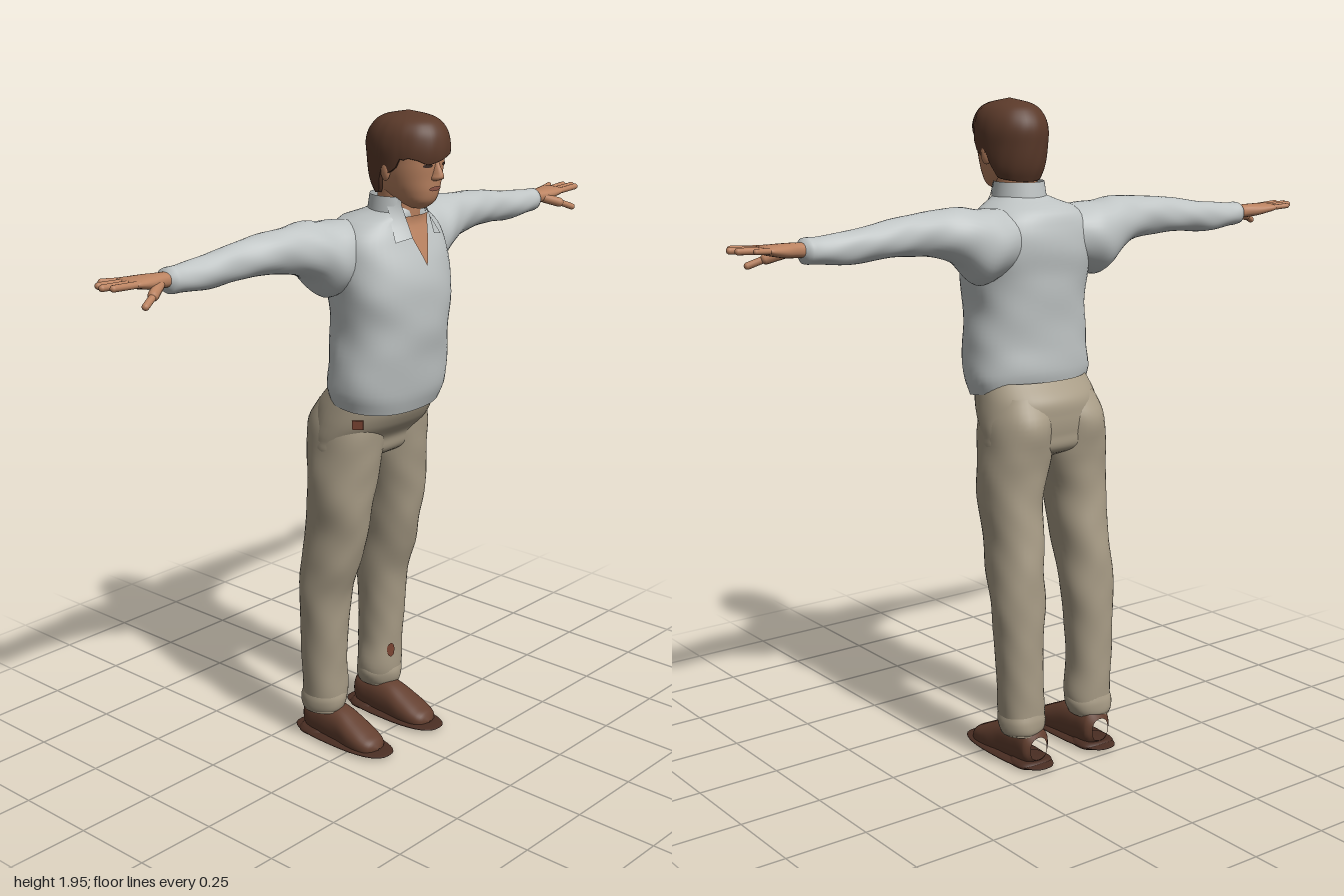
import * as THREE from 'three';

const mat = (name, color, side = THREE.FrontSide) => {
  const m = new THREE.MeshStandardMaterial({ color, side });
  m.name = name;
  return m;
};
const D = THREE.DoubleSide;
const M = {
  shirt: mat('shirt grey', 0xbfc4c4, D),
  trousers: mat('trouser khaki', 0xa89c86),
  skin: mat('skin', 0xbb8361, D),
  hair: mat('hair brown', 0x5b3a2a, D),
  shoe: mat('shoe leather', 0x633f2f),
  sole: mat('shoe sole', 0x4a2e23),
  lips: mat('lips', 0x95594a, D),
  eye: mat('eye dark', 0x3a2a24, D),
  patch: mat('rust patch', 0x7a4432, D),
};

// Smooth interpolation of section rows [t, c1, c2, r1, r2] at t
function at(rows, t) {
  let i = 0;
  while (i < rows.length - 2 && t > rows[i + 1][0]) i++;
  const a = rows[i], b = rows[i + 1], h = b[0] - a[0], s = THREE.MathUtils.clamp((t - a[0]) / h, 0, 1);
  const p = rows[Math.max(i - 1, 0)], n = rows[Math.min(i + 2, rows.length - 1)];
  return a.map((_, k) => {
    if (k === 0) return t;
    const m0 = (b[k] - p[k]) / (b[0] - p[0]) * h, m1 = (n[k] - a[k]) / (n[0] - a[0]) * h;
    const v = (2 * s ** 3 - 3 * s * s + 1) * a[k] + (s ** 3 - 2 * s * s + s) * m0 + (3 * s * s - 2 * s ** 3) * b[k] + (s ** 3 - s * s) * m1;
    return k > 2 ? Math.max(v, 0.0005) : v;
  });
}

// Surface from a grid of points; closed wraps the columns
function grid(nr, nc, closed, fn) {
  const pos = [], idx = [], cols = closed ? nc : nc + 1;
  for (let i = 0; i <= nr; i++) for (let j = 0; j < cols; j++) pos.push(...fn(i / nr, j / nc));
  for (let i = 0; i < nr; i++) for (let j = 0; j < nc; j++) {
    const k = (j + 1) % cols, a = i * cols + j, b = i * cols + k, c = a + cols, d = b + cols;
    idx.push(a, c, b, b, c, d);
  }
  const g = new THREE.BufferGeometry();
  g.setAttribute('position', new THREE.Float32BufferAttribute(pos, 3));
  g.setIndex(idx);
  g.computeVertexNormals();
  return g;
}

const PLACE = { y: (t, u, v) => [u, t, v], x: (t, u, v) => [t, v, u], z: (t, u, v) => [v, u, t] };
const spow = (v, e) => Math.sign(v) * Math.abs(v) ** e;

// Superelliptic loft along an axis, with optional cloth folds and a vertex rule
function loft(rows, { axis = 'y', p = 2, n = 36, steps = 40, fold = 0, rule } = {}) {
  const t0 = rows[0][0], t1 = rows[rows.length - 1][0];
  return grid(steps, n, true, (s, w) => {
    const [t, c1, c2, r1, r2] = at(rows, t0 + (t1 - t0) * s), a = w * Math.PI * 2;
    const f = 1 + fold * (Math.sin(3 * a + t * 31) + 0.7 * Math.sin(5 * a - t * 47));
    const q = PLACE[axis](t, c1 + r1 * f * spow(Math.cos(a), 2 / p), c2 + r2 * f * spow(Math.sin(a), 2 / p));
    return rule ? rule(q) : q;
  });
}

// Thin plate laid on the front of an upright loft between two x edges
function plate(rows, p, y0, y1, left, right, lift = 0.004) {
  return grid(10, 10, false, (s, w) => {
    const y = y0 + (y1 - y0) * s, x = right(s) + (left(s) - right(s)) * w;
    const [, cx, cz, rx, rz] = at(rows, y);
    return [x, y, cz + rz * Math.max(0, 1 - Math.abs((x - cx) / rx) ** p) ** (1 / p) + lift];
  });
}
const oval = (rows, p, x, y, w, h, lift) => plate(rows, p, y - h, y + h,
  s => x - w * Math.sqrt(Math.max(0, 1 - (2 * s - 1) ** 2)), s => x + w * Math.sqrt(Math.max(0, 1 - (2 * s - 1) ** 2)), lift);

function capsule(a, b, r) {
  const A = new THREE.Vector3(...a), B = new THREE.Vector3(...b), d = B.clone().sub(A);
  const g = new THREE.CapsuleGeometry(r, d.length() - r, 6, 12);
  g.applyQuaternion(new THREE.Quaternion().setFromUnitVectors(new THREE.Vector3(0, 1, 0), d.normalize()));
  const c = A.add(B).multiplyScalar(0.5);
  return g.translate(c.x, c.y, c.z);
}

function mirrored(geo) {
  const g = geo.clone().scale(-1, 1, 1), ix = g.index.array;
  for (let i = 0; i < ix.length; i += 3) [ix[i], ix[i + 1]] = [ix[i + 1], ix[i]];
  g.computeVertexNormals();
  return g;
}

const TORSO = [[1.11, 0, 0.005, 0.186, 0.118], [1.16, 0, 0.01, 0.2, 0.132], [1.25, 0, 0.018, 0.195, 0.138],
  [1.35, 0, 0.022, 0.185, 0.147], [1.45, 0, 0.02, 0.197, 0.15], [1.53, 0, 0.007, 0.2, 0.147],
  [1.6, 0, 0, 0.185, 0.13], [1.645, 0, 0.005, 0.14, 0.11], [1.67, 0, 0.04, 0.08, 0.078], [1.69, 0, 0.05, 0.06, 0.06]];
const ARM = [[0.1, -0.03, 1.56, 0.085, 0.08], [0.17, -0.037, 1.55, 0.1, 0.103], [0.22, -0.04, 1.548, 0.097, 0.107],
  [0.28, -0.04, 1.578, 0.085, 0.083], [0.35, -0.04, 1.592, 0.065, 0.066], [0.45, -0.045, 1.595, 0.056, 0.056],
  [0.55, -0.055, 1.588, 0.047, 0.049], [0.65, -0.055, 1.578, 0.043, 0.045], [0.74, -0.055, 1.578, 0.037, 0.036],
  [0.785, -0.055, 1.58, 0.034, 0.032], [0.79, -0.055, 1.58, 0.015, 0.015]];
const LEG = [[0.1, 0.13, -0.135, 0.06, 0.064], [0.16, 0.125, -0.13, 0.07, 0.068], [0.25, 0.131, -0.13, 0.067, 0.07],
  [0.4, 0.132, -0.125, 0.072, 0.075], [0.5, 0.13, -0.12, 0.08, 0.08], [0.6, 0.128, -0.1, 0.078, 0.096],
  [0.7, 0.12, -0.083, 0.081, 0.102], [0.8, 0.12, -0.068, 0.09, 0.103], [0.88, 0.11, -0.065, 0.1, 0.107],
  [0.95, 0.1, -0.065, 0.104, 0.115], [1.04, 0.095, -0.063, 0.097, 0.123], [1.11, 0.085, -0.05, 0.08, 0.1]];
const HIPS = [[0.92, 0, -0.06, 0.13, 0.04], [0.95, 0, -0.065, 0.192, 0.098], [1, 0, -0.063, 0.199, 0.113],
  [1.05, 0, -0.045, 0.195, 0.135], [1.1, 0, -0.03, 0.186, 0.144], [1.15, 0, -0.01, 0.175, 0.122]];
const HEAD = [[1.683, 0, 0.125, 0.018, 0.025], [1.7, 0, 0.12, 0.046, 0.052], [1.73, 0, 0.1, 0.066, 0.084],
  [1.77, 0, 0.093, 0.079, 0.096], [1.81, 0, 0.09, 0.086, 0.104], [1.86, 0, 0.087, 0.09, 0.107],
  [1.91, 0, 0.09, 0.072, 0.088], [1.938, 0, 0.09, 0.005, 0.005]];
const HAIR = [[1.7, 0, 0.06, 0.062, 0.062], [1.75, 0, 0.08, 0.09, 0.105], [1.82, 0, 0.088, 0.1, 0.126],
  [1.87, 0, 0.088, 0.1, 0.128], [1.91, 0, 0.09, 0.086, 0.11], [1.935, 0, 0.09, 0.056, 0.075], [1.95, 0, 0.09, 0.001, 0.001]];
const HAIRLINE = [[-1.01, 1.715], [-0.3, 1.725], [-0.1, 1.8], [0.08, 1.785], [0.28, 1.8], [0.5, 1.86], [0.75, 1.845], [0.9, 1.825], [1.01, 1.825]];

function hairGeometry() {
  const edge = a => {
    const s = Math.sin(a), i = HAIRLINE.findIndex((h, k) => k > 0 && s <= h[0]);
    const [s0, y0] = HAIRLINE[i - 1], [s1, y1] = HAIRLINE[i];
    return y0 + (y1 - y0) * (s - s0) / (s1 - s0) + (s > 0.4 ? 0.03 * Math.cos(a) : 0);
  };
  return grid(30, 64, true, (s, w) => {
    const a = w * Math.PI * 2, k = Math.max(0, (s - 0.06) / 0.94);
    const y = edge(a) + (1.95 - edge(a)) * (1 - (1 - k) ** 1.5);
    const [, , cz, rx, rz] = at(HAIR, y), f = s === 0 ? 0.86 : 1 + 0.006 * Math.sin(a * 14 + y * 40) * (1 - k);
    return [rx * f * Math.cos(a), y, cz + rz * f * Math.sin(a)];
  });
}

export function createModel() {
  const root = new THREE.Group();
  root.name = 'standingMan';
  const add = (name, geo, m) => {
    const mesh = new THREE.Mesh(geo, m);
    mesh.name = name;
    root.add(mesh);
  };
  const pair = (name, geo, m) => {
    add(name + 'Left', geo, m);
    add(name + 'Right', mirrored(geo), m);
  };

  // Shirt: body with a hem that rises at the back, sleeves, collar
  add('shirtBody', loft(TORSO, {
    p: 2.3, n: 48, fold: 0.007,
    rule: ([x, y, z]) => [x, y - 0.16 * z * Math.max(0, 1 - (y - 1.11) / 0.15), z],
  }), M.shirt);
  pair('sleeve', loft(ARM, { axis: 'x', fold: 0.016, steps: 60 }), M.shirt);
  add('collarBand', grid(6, 36, false, (s, w) => {
    const a = Math.PI * (0.72 + 1.56 * w), r = 1.12 - 0.14 * s;
    return [0.074 * r * Math.cos(a), 1.645 + 0.07 * s, 0.045 + 0.078 * r * Math.sin(a)];
  }), M.shirt);
  pair('collarFlap', grid(6, 6, false, (s, w) => {
    const outer = [0.098 - 0.03 * s, 1.595 + 0.105 * s, 0.128 - 0.06 * s];
    const inner = [0.046 + 0.006 * s, 1.605 + 0.105 * s, 0.147 - 0.045 * s];
    return outer.map((v, k) => v + (inner[k] - v) * w);
  }), M.shirt);
  add('openNeckSkin', plate(TORSO, 2.3, 1.52, 1.66, s => -0.058 * s, s => 0.058 * s, 0.006), M.skin);

  // Trousers
  add('trouserHips', loft(HIPS, { p: 2.2, n: 48 }), M.trousers);
  pair('trouserLeg', loft(LEG, { n: 36, steps: 60, fold: 0.01, p: 2.15 }), M.trousers);
  pair('trouserCuff', loft([[0.095, 0.13, -0.135, 0.05, 0.05], [0.105, 0.13, -0.135, 0.063, 0.066],
    [0.14, 0.127, -0.132, 0.072, 0.072], [0.17, 0.126, -0.13, 0.066, 0.066]], { fold: 0.02, steps: 12 }), M.trousers);
  add('shinPatch', oval(LEG, 2.15, 0.102, 0.23, 0.012, 0.024, 0.006), M.patch);
  const tag = new THREE.BoxGeometry(0.008, 0.026, 0.032);
  add('hipTag', tag.rotateY(0.6).translate(-0.165, 1.065, 0.045), M.patch);

  // Shoes: rounded upper, sole and heel
  const upper = [[-0.205, 0.06, 0.118, 0.035, 0.03], [-0.19, 0.065, 0.118, 0.055, 0.046], [-0.13, 0.06, 0.118, 0.062, 0.05],
    [-0.06, 0.05, 0.118, 0.062, 0.051], [0, 0.035, 0.12, 0.05, 0.055], [0.05, 0.026, 0.121, 0.034, 0.05],
    [0.078, 0.022, 0.121, 0.022, 0.033], [0.088, 0.02, 0.121, 0.003, 0.003]];
  pair('shoeUpper', loft(upper, { axis: 'z', p: 2.3, rule: ([x, y, z]) => [x, Math.max(y, 0.013), z] }), M.shoe);
  const slab = (y0, y1, cz, rx, rz) => loft([[y0, 0.119, cz, 0.001, 0.001], [y0 + 0.001, 0.119, cz, rx, rz],
    [y1 - 0.001, 0.119, cz, rx, rz], [y1, 0.119, cz, 0.001, 0.001]], { p: 2.6, steps: 24 });
  pair('shoeSole', slab(0.004, 0.02, -0.06, 0.056, 0.151), M.sole);
  pair('shoeHeel', slab(0, 0.024, -0.165, 0.05, 0.046), M.sole);

  // Hands
  pair('palm', loft([[0.76, -0.055, 1.582, 0.024, 0.02], [0.8, -0.055, 1.584, 0.027, 0.02], [0.84, -0.06, 1.586, 0.038, 0.019],
    [0.88, -0.064, 1.59, 0.044, 0.015], [0.905, -0.066, 1.593, 0.042, 0.011], [0.915, -0.066, 1.594, 0.01, 0.004]],
  { axis: 'x', p: 2.3, n: 24, steps: 20 }), M.skin);
  [[-0.031, -0.028, 0.985], [-0.054, -0.053, 1], [-0.077, -0.08, 0.99], [-0.098, -0.112, 0.955]].forEach(([z0, z1, tip], i) =>
    pair('finger' + (i + 1), capsule([0.885, 1.592, z0], [tip - 0.005, 1.597, z1], i === 3 ? 0.008 : 0.0095), M.skin));
  pair('thumbBase', capsule([0.815, 1.58, -0.04], [0.87, 1.56, -0.006], 0.015), M.skin);
  pair('thumbTip', capsule([0.86, 1.564, -0.01], [0.912, 1.543, 0.012], 0.01), M.skin);

  // Head and neck
  add('neck', loft([[1.56, 0, 0.04, 0.062, 0.07], [1.63, 0, 0.045, 0.062, 0.072], [1.68, 0, 0.055, 0.058, 0.066],
    [1.76, 0, 0.06, 0.06, 0.065]], { steps: 12 }), M.skin);
  add('head', loft(HEAD, { p: 2.2 }), M.skin);
  add('nose', loft([[1.764, 0, 0.185, 0.008, 0.008], [1.77, 0, 0.188, 0.017, 0.025], [1.782, 0, 0.186, 0.014, 0.03],
    [1.81, 0, 0.183, 0.009, 0.019], [1.835, 0, 0.182, 0.007, 0.01]], { n: 16, steps: 16 }), M.skin);
  pair('ear', new THREE.SphereGeometry(1, 16, 12).scale(0.011, 0.03, 0.018).rotateY(0.3).translate(0.089, 1.793, 0.083), M.skin);
  pair('eye', oval(HEAD, 2.2, 0.034, 1.808, 0.014, 0.005, 0.003), M.eye);
  pair('eyebrow', oval(HEAD, 2.2, 0.036, 1.826, 0.021, 0.004, 0.004), M.hair);
  add('mouth', oval(HEAD, 2.2, 0, 1.742, 0.024, 0.007, 0.004), M.lips);
  add('hair', hairGeometry(), M.hair);
  return root;
}
